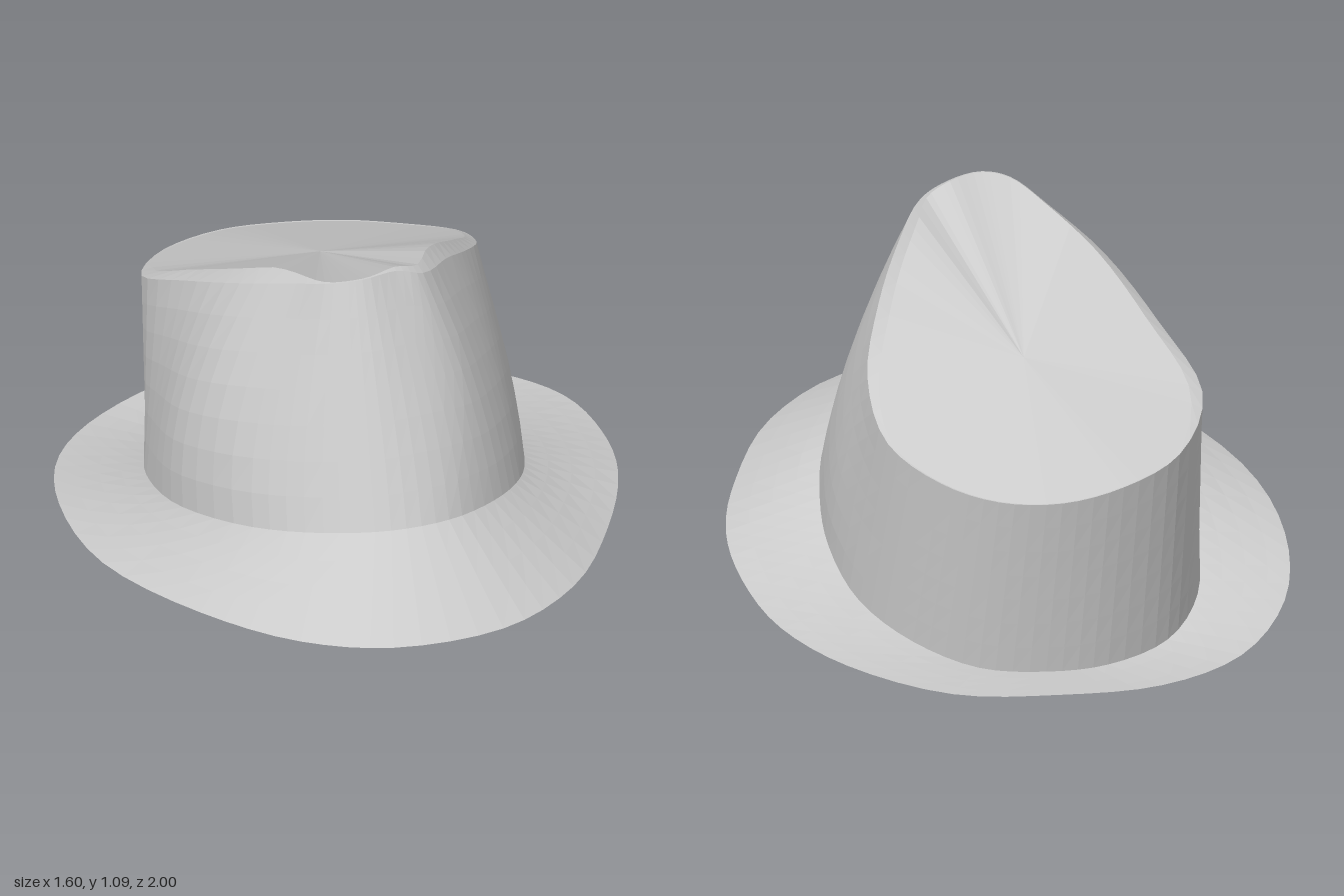
import * as THREE from 'three';

// Cross-section stations, front -> left -> back -> right:
// [brim edge x,y,z,  crown base x,z,  crown rim x,y,z]
const stations = [
  [0.08, 0.265, 1.0, 0.1, 0.63, 0.04, 1.09, 0.34],
  [0.4, 0.25, 0.895, 0.27, 0.57, 0.14, 1.085, 0.29],
  [0.62, 0.225, 0.64, 0.41, 0.41, 0.22, 1.05, 0.25],
  [0.745, 0.195, 0.28, 0.5, 0.2, 0.3, 0.985, 0.07],
  [0.8, 0.17, -0.06, 0.53, -0.03, 0.37, 0.885, -0.13],
  [0.775, 0.135, -0.34, 0.52, -0.24, 0.42, 0.76, -0.38],
  [0.685, 0.095, -0.61, 0.45, -0.47, 0.38, 0.655, -0.62],
  [0.51, 0.055, -0.81, 0.31, -0.64, 0.24, 0.59, -0.77],
  [0.22, 0.022, -0.965, 0.13, -0.745, 0.08, 0.56, -0.85],
  [-0.08, 0.025, -1.0, -0.06, -0.77, -0.1, 0.555, -0.86],
  [-0.38, 0.015, -0.925, -0.24, -0.73, -0.28, 0.575, -0.8],
  [-0.62, 0.02, -0.73, -0.42, -0.6, -0.45, 0.61, -0.65],
  [-0.765, 0.065, -0.44, -0.52, -0.4, -0.535, 0.69, -0.38],
  [-0.793, 0.125, -0.08, -0.53, -0.13, -0.43, 0.81, -0.15],
  [-0.7, 0.175, 0.33, -0.46, 0.18, -0.29, 0.935, 0.08],
  [-0.45, 0.23, 0.71, -0.28, 0.46, -0.14, 1.025, 0.24],
  [-0.18, 0.255, 0.93, -0.09, 0.59, -0.04, 1.075, 0.33],
];
const SEGMENTS = 68;
const { smoothstep } = THREE.MathUtils;

// Smooth closed loop through one point per station
function loop(pick) {
  const points = stations.map((s) => new THREE.Vector3(...pick(s)));
  const curve = new THREE.CatmullRomCurve3(points, true);
  return Array.from({ length: SEGMENTS }, (_, i) => curve.getPoint(i / SEGMENTS));
}

// Rings blended between two loops, with an optional adjustment of each point
function blend(from, to, steps, adjust = () => {}) {
  return Array.from({ length: steps + 1 }, (_, j) => from.map((p, i) => {
    const t = j / steps;
    const q = p.clone().lerp(to[i], t);
    adjust(q, t);
    return q;
  }));
}

// Skin a stack of rings
function skin(rings) {
  const positions = [];
  const index = [];
  rings.forEach((ring) => ring.forEach((p) => positions.push(p.x, p.y, p.z)));
  for (let j = 0; j < rings.length - 1; j++) {
    for (let i = 0; i < SEGMENTS; i++) {
      const a = j * SEGMENTS + i;
      const b = j * SEGMENTS + (i + 1) % SEGMENTS;
      index.push(a, b, b + SEGMENTS, a, b + SEGMENTS, a + SEGMENTS);
    }
  }
  const geometry = new THREE.BufferGeometry();
  geometry.setAttribute('position', new THREE.Float32BufferAttribute(positions, 3));
  geometry.setIndex(index);
  geometry.computeVertexNormals();
  return geometry;
}

export function createModel() {
  const hat = new THREE.Group();
  hat.name = 'hat';
  const felt = new THREE.MeshStandardMaterial({
    color: 0xcccccc, flatShading: true, side: THREE.DoubleSide,
  });
  const add = (name, rings) => {
    const mesh = new THREE.Mesh(skin(rings), felt);
    mesh.name = name;
    hat.add(mesh);
  };

  const edge = loop((s) => [s[0], s[1], s[2]]);
  // The crown meets the brim in a plane that tilts down to the back
  const seam = loop(([, , , x, z]) => [x, Math.max(0.003, 0.23 + 0.305 * z + 0.06 * x), z]);
  const rim = loop((s) => [s[5], s[6], s[7]]);
  const middle = new THREE.Vector3(-0.03, 0.785, -0.32);

  // Brim: open sloping band
  add('brim', blend(edge, seam, 4));

  // Crown wall: tapers to the rim, bulging towards the front on both sides
  add('crownWall', blend(seam, rim, 7, (p, t) => {
    const fullness = p.x > 0
      ? 0.1 * smoothstep(p.z, -0.55, -0.05)
      : 0.22 * smoothstep(p.z, -0.3, 0.2);
    p.x += fullness * t * (1 - t) * THREE.MathUtils.clamp(p.x / 0.3, -1, 1);
  }));

  // Bevel: rises inward along both sides, flush at the front tip and the back
  const ridge = rim.map((p) => {
    const w = smoothstep(p.z, -0.75, -0.2) * (1 - smoothstep(p.z, 0.15, 0.34));
    const q = p.clone().lerp(middle, 0.01 + 0.09 * w);
    q.y = p.y + 0.025 * w;
    return q;
  });
  add('crownBevel', blend(rim, ridge, 1));

  // Crown top: gently dished panel
  add('crownTop', blend(ridge, ridge.map(() => middle), 5));

  return hat;
}
